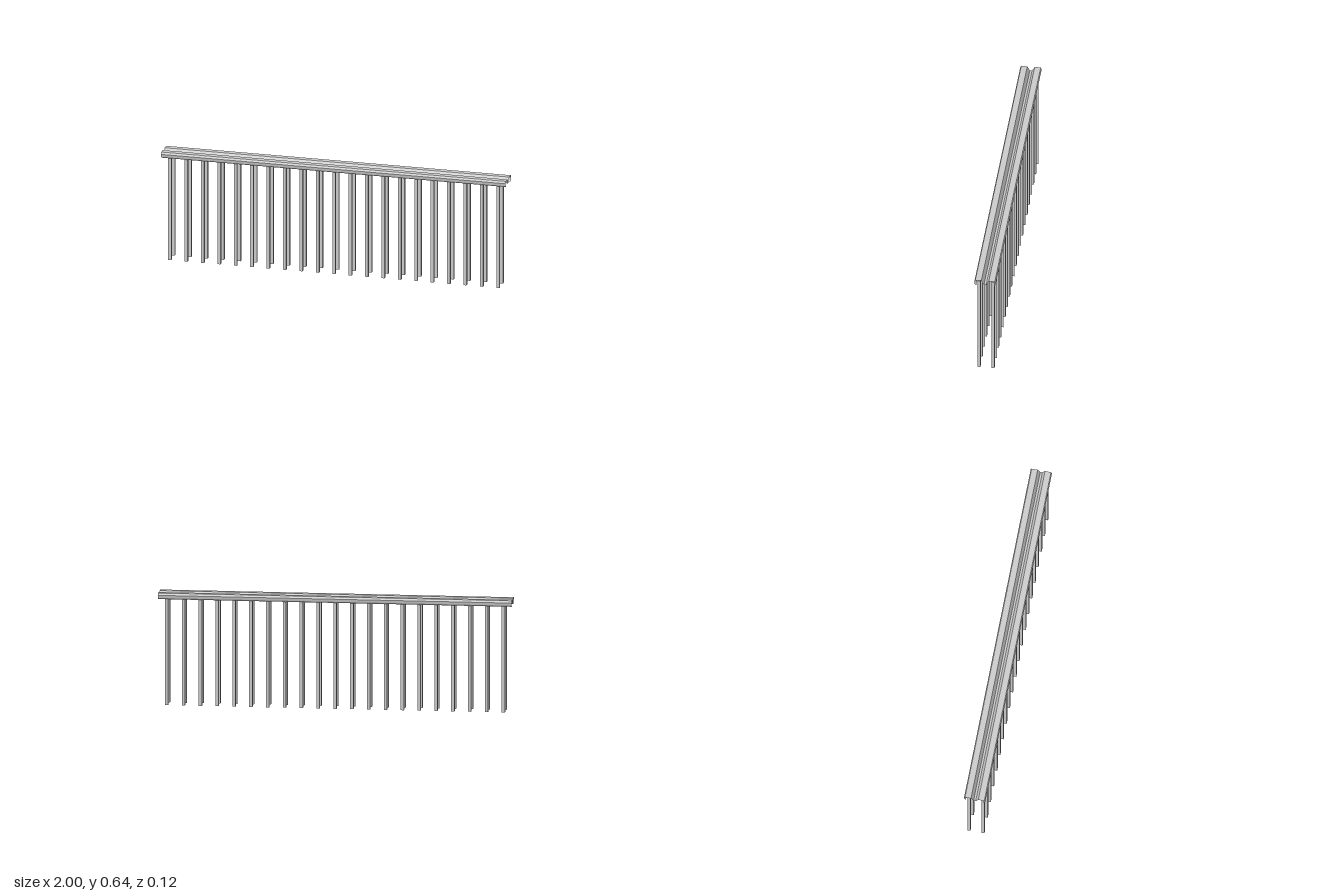
import * as THREE from 'three';

export function createModel() {
  const model = new THREE.Group();
  const postMaterial = new THREE.MeshStandardMaterial({ color: 0xcccccc, flatShading: true });
  const railMaterial = new THREE.MeshStandardMaterial({
    color: 0xcccccc, flatShading: true, side: THREE.DoubleSide,
  });

  // Folded sheet rail: two lobes with a valley between them, open at both ends
  const half = [
    [0.006, 0.612], [0.021, 0.64], [0.055, 0.64],
    [0.061, 0.628], [0.058, 0.613], [0.05, 0.605],
  ];
  const profile = [...half.map(([z, y]) => [-z, y]).reverse(), ...half];
  const positions = [];
  const indices = [];
  profile.forEach(([z, y], i) => {
    positions.push(-1, y, z, 1, y, z);
    if (i > 0) {
      const a = 2 * (i - 1);
      indices.push(a, a + 2, a + 1, a + 1, a + 2, a + 3);
    }
  });
  const railGeometry = new THREE.BufferGeometry();
  railGeometry.setAttribute('position', new THREE.Float32BufferAttribute(positions, 3));
  railGeometry.setIndex(indices);
  railGeometry.computeVertexNormals();
  const rail = new THREE.Mesh(railGeometry, railMaterial);
  rail.name = 'rail';
  model.add(rail);

  // Two rows of square posts
  const count = 21;
  const height = 0.605;
  const postGeometry = new THREE.BoxGeometry(0.018, height, 0.018);
  for (const side of [1, -1]) {
    const row = new THREE.Group();
    row.name = side > 0 ? 'frontPosts' : 'backPosts';
    for (let i = 0; i < count; i++) {
      const post = new THREE.Mesh(postGeometry, postMaterial);
      post.name = 'post';
      post.position.set(-0.952 + (1.904 * i) / (count - 1), height / 2, side * 0.04);
      row.add(post);
    }
    model.add(row);
  }
  return model;
}
